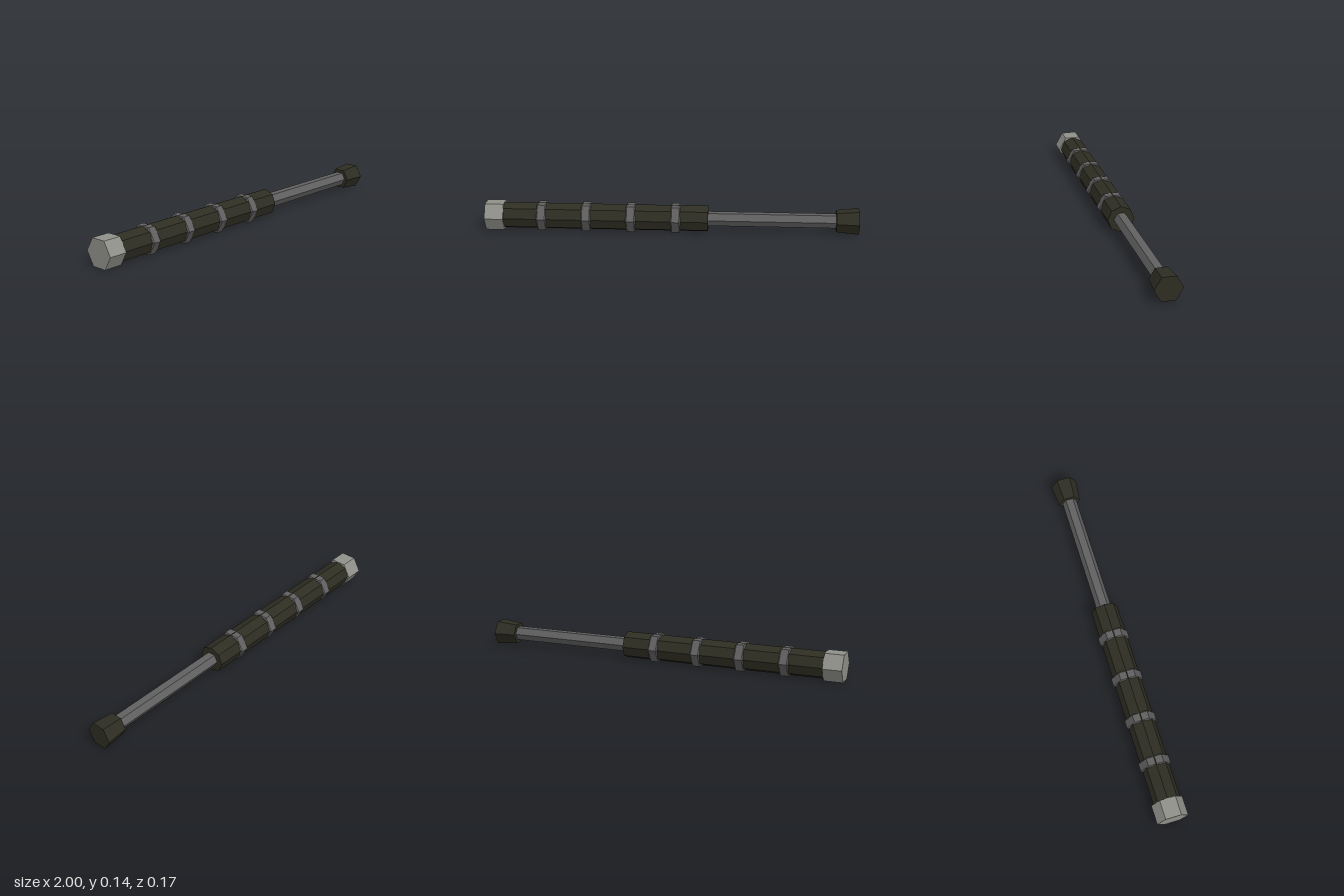
import * as THREE from 'three';

const AXIS_Y = 0.073;

function material(name, color) {
  const m = new THREE.MeshStandardMaterial({ color, flatShading: true });
  m.name = name;
  return m;
}

export function createModel() {
  const group = new THREE.Group();
  group.name = 'telescopicBaton';

  const grip = material('darkOlive', 0x2e2d22);
  const steel = material('darkSteel', 0x616060);
  const pale = material('paleSteel', 0x90908a);

  // Faceted bar along x, from x0 (radius r0) to x1 (radius r1), a corner facing +z
  function bar(name, x0, x1, r0, r1, sides, mat) {
    const geo = new THREE.CylinderGeometry(r1, r0, x1 - x0, sides);
    geo.rotateZ(-Math.PI / 2);
    const mesh = new THREE.Mesh(geo, mat);
    mesh.name = name;
    mesh.position.set((x0 + x1) / 2, AXIS_Y, 0);
    group.add(mesh);
  }

  bar('pommel', -1, -0.9, 0.083, 0.083, 6, pale);
  bar('handle', -0.9, 0.2, 0.072, 0.072, 8, grip);
  bar('shaft', 0.2, 0.88, 0.04, 0.04, 6, steel);
  bar('tip', 0.88, 1, 0.06, 0.072, 6, grip);

  // Chamfered hexagonal grip bands, with the handle's corners showing through
  const profile = [[0.06, -0.026], [0.075, -0.026], [0.081, -0.02],
    [0.081, 0.02], [0.075, 0.026], [0.06, 0.026]]
    .map(([r, h]) => new THREE.Vector2(r, h));
  const bandGeo = new THREE.LatheGeometry(profile, 6);
  bandGeo.rotateZ(-Math.PI / 2);
  for (let i = 0; i < 4; i++) {
    const band = new THREE.Mesh(bandGeo, steel);
    band.name = 'gripBand' + (i + 1);
    band.position.set(-0.695 + i * 0.24, AXIS_Y, 0);
    group.add(band);
  }

  return group;
}
